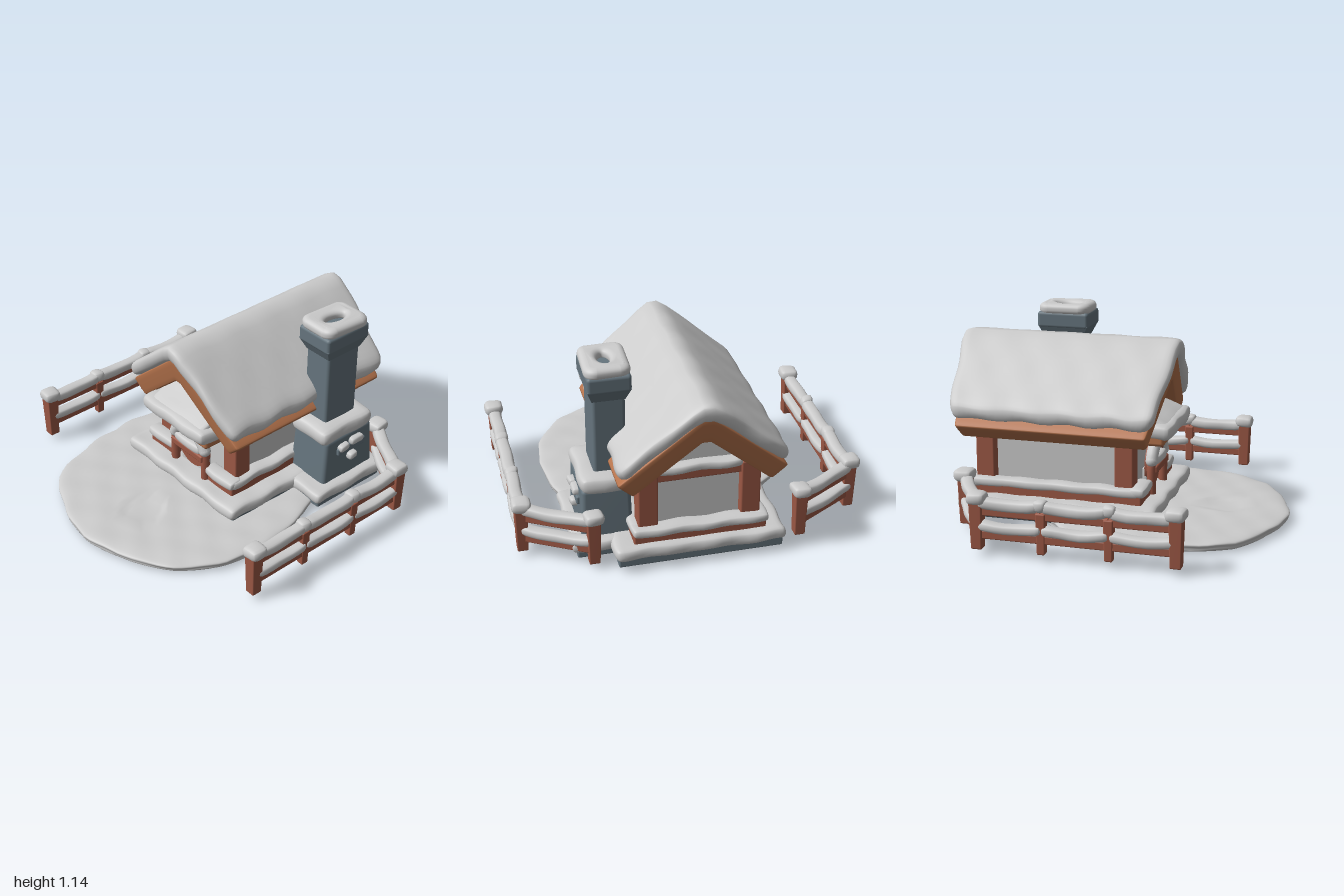
import * as THREE from 'three';
import { mergeVertices } from 'three/addons/utils/BufferGeometryUtils.js';
import { RoundedBoxGeometry } from 'three/addons/geometries/RoundedBoxGeometry.js';

const mat = (color) => new THREE.MeshStandardMaterial({ color });
const snowMat = mat(0xcccccc), wallMat = mat(0xcccccc);
const wood = mat(0x9c5845), roofWood = mat(0xb5734c), stone = mat(0x66757e);

// Move every vertex by a rule, then rebuild smooth normals
function reshape(geo, rule) {
  geo.deleteAttribute('uv');
  geo.deleteAttribute('normal');
  const p = geo.attributes.position, v = new THREE.Vector3();
  for (let i = 0; i < p.count; i++) {
    rule(v.fromBufferAttribute(p, i));
    p.setXYZ(i, v.x, v.y, v.z);
  }
  const out = mergeVertices(geo, 1e-5);
  out.computeVertexNormals();
  return out;
}

// Gentle lumps, as on settled snow
function wobble(v, a, s = 0) {
  const { x, y, z } = v;
  v.x += a * Math.sin(23 * z + 17 * y + s);
  v.y += a * 0.7 * Math.sin(19 * x + 2 * s) * Math.cos(27 * z + s);
  v.z += a * Math.sin(25 * x + 13 * y + 3 * s);
}

// Rounded box with enough divisions to bend; rule is applied last
function softBox(w, h, d, r, amp, rule = () => {}, seed = 0) {
  const n = (s) => THREE.MathUtils.clamp(Math.ceil(s / 0.035), 6, 36);
  const half = new THREE.Vector3(w / 2, h / 2, d / 2);
  const inner = half.clone().subScalar(r), low = inner.clone().negate();
  const c = new THREE.Vector3();
  return reshape(new THREE.BoxGeometry(2, 2, 2, n(w), n(h), n(d)), (v) => {
    v.set(Math.sin(v.x * Math.PI / 2), Math.sin(v.y * Math.PI / 2), Math.sin(v.z * Math.PI / 2)).multiply(half);
    c.copy(v).clamp(low, inner);
    v.sub(c).normalize().multiplyScalar(r).add(c);
    wobble(v, amp, seed);
    rule(v);
  });
}

function add(parent, name, geo, material, x = 0, y = 0, z = 0) {
  const m = new THREE.Mesh(geo, material);
  m.name = name;
  m.position.set(x, y, z);
  parent.add(m);
  return m;
}

// Boxes given by their ranges on each axis
let seed = 0;
function snow(parent, name, [x0, x1], [y0, y1], [z0, z1]) {
  const s = [x1 - x0, y1 - y0, z1 - z0];
  const geo = softBox(...s, Math.min(...s) * 0.46, 0.005, undefined, seed++);
  return add(parent, name, geo, snowMat, (x0 + x1) / 2, (y0 + y1) / 2, (z0 + z1) / 2);
}
function block(parent, name, material, [x0, x1], [y0, y1], [z0, z1], r = 0.01) {
  const geo = new RoundedBoxGeometry(x1 - x0, y1 - y0, z1 - z0, 2, r);
  return add(parent, name, geo, material, (x0 + x1) / 2, (y0 + y1) / 2, (z0 + z1) / 2);
}
// Box whose footprint scales from bottom to top
function tapered(w, h, d, bx, bz, r) {
  return reshape(new RoundedBoxGeometry(w, h, d, 3, r), (v) => {
    const t = 0.5 - v.y / h;
    v.x *= 1 + (bx - 1) * t;
    v.z *= 1 + (bz - 1) * t;
  });
}

function buildGround(g) {
  const radii = [.74, .72, .74, .73, .7, .71, .76, .72, .74, .73, .7, .74, .69, .7, .76, .73];
  const profile = new THREE.SplineCurve([[0, 0.004], [0.5, 0.004], [0.93, 0.006], [1, 0.035], [0.95, 0.065], [0.5, 0.07], [0, 0.07]]
    .map(([x, y]) => new THREE.Vector2(x, y))).getPoints(48);
  profile.forEach((p) => { p.x = Math.max(0, p.x); });
  const geo = reshape(new THREE.LatheGeometry(profile, 96), (v) => {
    const a = (Math.atan2(v.x, v.z) / (2 * Math.PI) + 1) % 1 * 16, i = Math.floor(a);
    const r = THREE.MathUtils.lerp(radii[i % 16], radii[(i + 1) % 16], a - i);
    v.x *= r;
    v.z *= r;
    if (v.y > 0.02) {
      wobble(v, 0.005);
      // shallow trodden hollow
      if (Math.hypot(v.x - 0.04, v.z - 0.36) < 0.12) v.y -= 0.01;
    }
  });
  add(g, 'groundSnow', geo, snowMat, 0, 0, 0.22);
}

function buildPlatform(g) {
  block(g, 'stonePlinth', stone, [-0.46, 0.46], [0.035, 0.1], [-0.86, 0.26]);
  block(g, 'stonePlinthChimneySide', stone, [0.2, 0.66], [0.035, 0.1], [-0.72, -0.22]);
  snow(g, 'platformSnow', [-0.48, 0.48], [0.075, 0.155], [-0.88, 0.29]);
  snow(g, 'platformSnowChimneySide', [0.2, 0.69], [0.075, 0.15], [-0.75, -0.19]);
}

function buildHouse(g) {
  // Walls with gables
  const s = new THREE.Shape([[-0.28, 0.1], [0.28, 0.1], [0.28, 0.6], [0, 0.84], [-0.28, 0.6]].map(([x, y]) => new THREE.Vector2(x, y)));
  add(g, 'walls', new THREE.ExtrudeGeometry(s, { depth: 0.84, bevelEnabled: false }), wallMat, 0, 0, -0.75);
  for (const k of [-1, 1]) {
    for (const z of [0.08, -0.745]) block(g, 'cornerPost', wood, [k * 0.285 - 0.055, k * 0.285 + 0.055], [0.12, 0.57], [z - 0.055, z + 0.055]);
    const span = (a, b) => (k > 0 ? [a, b] : [-b, -a]);
    block(g, 'sideSkirt', wood, span(0.31, 0.37), [0.13, 0.21], [-0.83, 0.18]);
    snow(g, 'sideSkirtSnow', span(0.29, 0.38), [0.19, 0.245], [-0.84, 0.19]);
    block(g, 'frontSkirt', wood, span(0.15, 0.37), [0.13, 0.21], [0.13, 0.19]);
    snow(g, 'frontSkirtSnow', span(0.14, 0.38), [0.19, 0.25], [0.11, 0.21]);
  }
  block(g, 'backSkirt', wood, [-0.37, 0.37], [0.13, 0.21], [-0.83, -0.77]);
  snow(g, 'backSkirtSnow', [-0.38, 0.38], [0.19, 0.245], [-0.85, -0.75]);
  block(g, 'backBeam', wood, [-0.29, 0.29], [0.5, 0.56], [-0.79, -0.73]);
  snow(g, 'backBeamSnow', [-0.24, 0.24], [0.545, 0.6], [-0.81, -0.73]);

  // Front ledge with sloping snow
  block(g, 'frontBeam', roofWood, [-0.26, 0.26], [0.47, 0.54], [0, 0.29], 0.02);
  snow(g, 'ledgeSnow', [-0.275, 0.275], [0.505, 0.595], [0.03, 0.335]);
  add(g, 'ledgeSnowSlope', softBox(0.46, 0.07, 0.26, 0.03, 0.003), snowMat, 0, 0.6, 0.19).rotation.x = 0.4;
}

function buildRoof(g) {
  // Bend a flat slab over the ridge, with gable ends leaning outward at the top
  const bend = (ridge, slope, flare, round) => (v) => {
    const yl = v.y;
    v.x *= 1 + flare * yl;
    v.y = ridge + yl - slope * Math.sqrt(v.x * v.x + round * round);
    v.z *= 1 + 0.13 * (v.y - 0.6) / 0.44;
  };
  add(g, 'roofBoards', softBox(0.85, 0.16, 1.13, 0.018, 0, bend(0.89, 0.865, 1.3, 0.005)), roofWood, 0, 0, -0.322);
  add(g, 'roofSnow', softBox(0.92, 0.115, 1.17, 0.05, 0.005, bend(1.03, 0.87, 0.6, 0.05)), snowMat, 0, 0, -0.322);
}

function buildDoor(g) {
  const arch = (r, a0, a1, cy, leg) => {
    const pts = leg ? [new THREE.Vector3(-r, 0.12, 0)] : [];
    for (let i = 0; i <= 12; i++) {
      const a = THREE.MathUtils.lerp(a1, a0, i / 12);
      pts.push(new THREE.Vector3(r * Math.cos(a), cy + r * Math.sin(a), 0));
    }
    if (leg) pts.push(new THREE.Vector3(r, 0.12, 0));
    return new THREE.CatmullRomCurve3(pts);
  };
  const door = new THREE.Group();
  door.name = 'door';
  door.position.z = 0.19;
  g.add(door);
  add(door, 'doorArch', new THREE.TubeGeometry(arch(0.135, 0, Math.PI, 0.29, true), 48, 0.026, 8), wood);
  block(door, 'doorPanel', wallMat, [-0.12, 0.12], [0.12, 0.3], [-0.06, -0.03]);
  const top = add(door, 'doorTop', new THREE.CylinderGeometry(0.13, 0.13, 0.03, 32), wood, 0, 0.3, -0.03);
  top.rotation.x = Math.PI / 2;
  block(door, 'doorCrossbar', wood, [-0.14, 0.14], [0.275, 0.32], [-0.03, 0.035]);
  snow(door, 'doorCrossbarSnow', [-0.115, 0.115], [0.31, 0.37], [-0.03, 0.04]);
  const capCurve = arch(0.14, 0.35, Math.PI - 0.35, 0.3, false);
  add(door, 'doorArchSnow', new THREE.TubeGeometry(capCurve, 32, 0.036, 12), snowMat);
  for (const t of [0, 1]) add(door, 'doorArchSnowEnd', new THREE.SphereGeometry(0.036, 16, 10), snowMat).position.copy(capCurve.getPoint(t));
}

function buildChimney(g) {
  const c = new THREE.Group();
  c.name = 'chimney';
  c.position.set(0.45, 0, -0.49);
  g.add(c);
  add(c, 'chimneyBase', tapered(0.27, 0.34, 0.36, 1.07, 1.13, 0.025), stone, 0.035, 0.26, 0);
  snow(c, 'chimneyBaseSnow', [-0.12, 0.175], [0.4, 0.505], [-0.205, 0.205]);
  add(c, 'chimneyShaft', new RoundedBoxGeometry(0.18, 0.6, 0.24, 3, 0.02), stone, 0, 0.68, 0);
  add(c, 'chimneyFlare', tapered(0.24, 0.08, 0.32, 0.75, 0.75, 0.006), stone, 0, 0.97, 0);
  add(c, 'chimneyHead', new RoundedBoxGeometry(0.24, 0.1, 0.32, 3, 0.02), stone, 0, 1.04, 0);
  // Snow ring around the flue
  const w = 0.09, d = 0.125, ring = new THREE.Shape();
  ring.moveTo(-w, -d + 0.03).quadraticCurveTo(-w, -d, -w + 0.03, -d).lineTo(w - 0.03, -d).quadraticCurveTo(w, -d, w, -d + 0.03)
    .lineTo(w, d - 0.03).quadraticCurveTo(w, d, w - 0.03, d).lineTo(-w + 0.03, d).quadraticCurveTo(-w, d, -w, d - 0.03);
  ring.holes.push(new THREE.Path().absellipse(0, 0, 0.07, 0.105, 0, Math.PI * 2, true));
  const cap = reshape(new THREE.ExtrudeGeometry(ring, { depth: 0.012, bevelSize: 0.035, bevelThickness: 0.027, bevelSegments: 5, curveSegments: 16 }), (v) => wobble(v, 0.003));
  add(c, 'chimneyCapSnow', cap, snowMat, 0, 1.1, 0).rotation.x = -Math.PI / 2;
  // Hearth opening on the outer side
  block(c, 'hearthLintel', stone, [0.15, 0.19], [0.31, 0.36], [-0.12, 0.1]);
  for (const [y, z, l] of [[0.37, -0.05, 0.1], [0.36, 0.06, 0.08], [0.27, -0.02, 0.07]]) {
    snow(c, 'hearthSnow', [0.145, 0.21], [y - 0.025, y + 0.025], [z - l / 2, z + l / 2]);
  }
}

function buildFence(k) {
  const f = new THREE.Group();
  f.name = k > 0 ? 'leftFence' : 'rightFence';
  const pts = [[0.94, 0.53], [0.94, 0.17], [0.94, -0.2], [0.94, -0.56], [0.58, -0.77]].map(([x, z]) => new THREE.Vector3(k * x, 0, z));
  pts.forEach((p, i) => {
    const main = i !== 1 && i !== 2, h = main ? 0.28 : 0.23, w = main ? 0.075 : 0.055;
    add(f, 'fencePost', tapered(w, h, w, 0.8, 0.8, 0.008), wood, p.x, 0.04 + h / 2, p.z);
    const s = main ? 0.055 : 0.04, y = main ? 0.325 : 0.31;
    snow(f, 'fencePostSnow', [p.x - s, p.x + s], [y - 0.035, y + 0.035], [p.z - s, p.z + s]);
  });
  for (let i = 0; i < 4; i++) {
    const a = pts[i], b = pts[i + 1], L = a.distanceTo(b);
    const rail = new THREE.Group();
    rail.name = 'fenceRail';
    rail.position.copy(a).lerp(b, 0.5);
    rail.lookAt(b);
    f.add(rail);
    const sag = (v) => { v.y -= 0.015 * (1 - (2 * v.z / L) ** 2); };
    for (const [y, th] of [[0.25, 0.065], [0.12, 0.055]]) {
      block(rail, 'fenceBoard', wood, [-0.02, 0.02], [y - 0.02, y + 0.025], [-L / 2, L / 2], 0.006);
      add(rail, 'fenceBoardSnow', softBox(0.075, th, L, th * 0.46, 0.003, sag, seed++), snowMat, 0, y + 0.055, 0);
    }
  }
  return f;
}

export function createModel() {
  seed = 0;
  const g = new THREE.Group();
  g.name = 'snowyCabin';
  for (const build of [buildGround, buildPlatform, buildHouse, buildRoof, buildDoor, buildChimney]) build(g);
  g.add(buildFence(1), buildFence(-1));
  return g;
}
